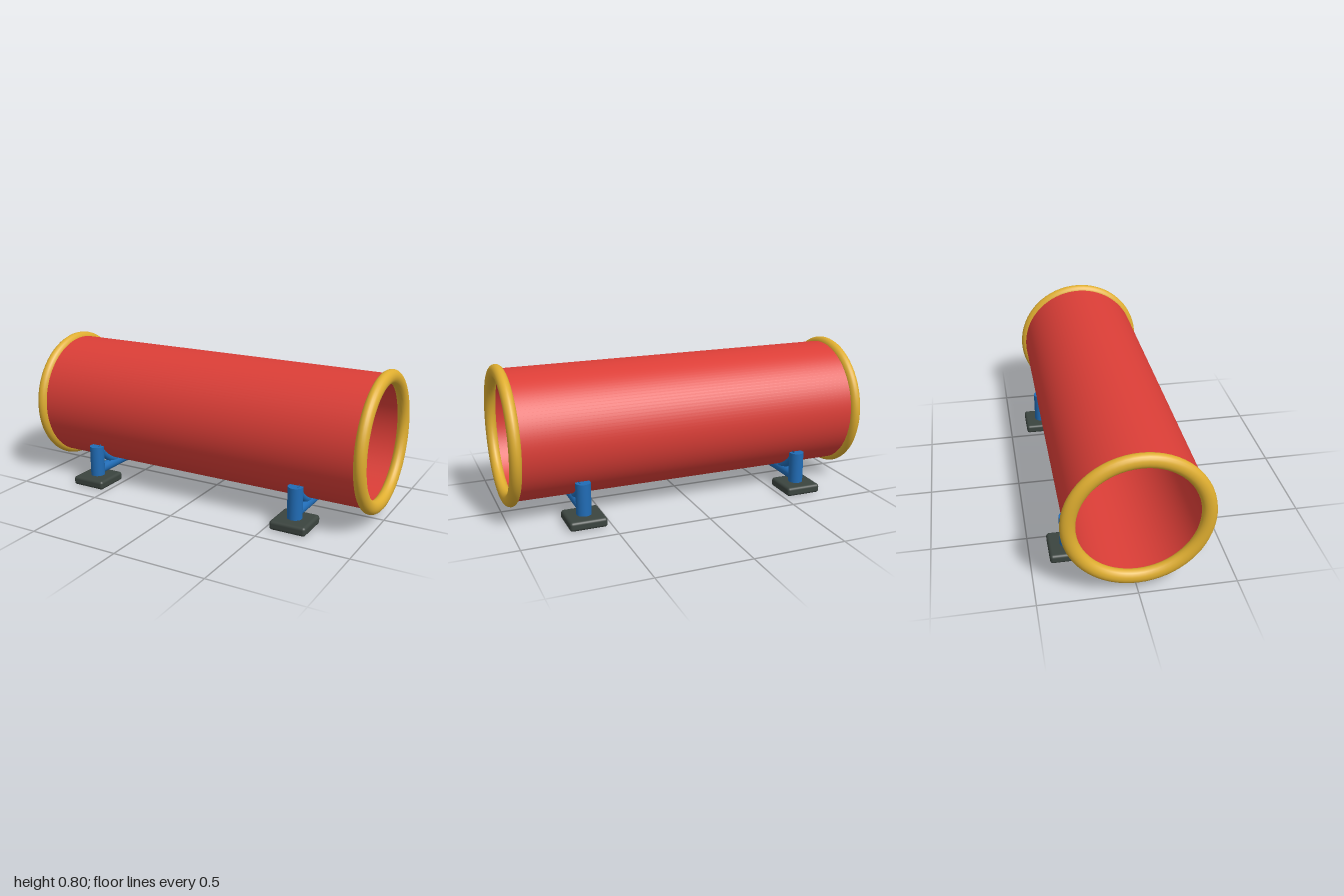
import * as THREE from 'three';
import { toCreasedNormals } from 'three/addons/utils/BufferGeometryUtils.js';
import { RoundedBoxGeometry } from 'three/addons/geometries/RoundedBoxGeometry.js';

const AXIS_Y = 0.425; // height of the tunnel's centre line

function material(name, color) {
  const m = new THREE.MeshStandardMaterial({ color });
  m.name = name;
  return m;
}

function part(parent, name, geometry, mat, x = 0, y = 0, z = 0) {
  const mesh = new THREE.Mesh(geometry, mat);
  mesh.name = name;
  mesh.position.set(x, y, z);
  parent.add(mesh);
  return mesh;
}

export function createModel() {
  const red = material('red', 0xdb3e37);
  const yellow = material('yellow', 0xdfae30);
  const blue = material('blue', 0x206cb6);
  const rubber = material('dark rubber', 0x3b443f);

  const model = new THREE.Group();
  model.name = 'crawlTunnel';

  // Hollow tunnel lying along x
  const ringShape = new THREE.Shape().absarc(0, 0, 0.35, 0, Math.PI * 2, false);
  ringShape.holes.push(new THREE.Path().absarc(0, 0, 0.32, 0, Math.PI * 2, true));
  const tunnel = new THREE.ExtrudeGeometry(ringShape, { depth: 1.94, bevelEnabled: false, curveSegments: 64 });
  tunnel.translate(0, 0, -0.97).rotateY(Math.PI / 2);
  part(model, 'tunnel', toCreasedNormals(tunnel, 0.6), red, 0, AXIS_Y, 0);

  // Padded rims, slightly flattened along the tunnel
  const rim = new THREE.TorusGeometry(0.3375, 0.0375, 20, 64);
  rim.scale(1, 1, 0.0315 / 0.0375).rotateY(Math.PI / 2);

  // Curved saddle hugging the underside, centred on straight down
  const arc = 2.0;
  const saddle = new THREE.TorusGeometry(0.36, 0.022, 12, 40, arc);
  saddle.rotateZ(-Math.PI / 2 - arc / 2).rotateY(Math.PI / 2);

  const post = new THREE.CylinderGeometry(0.04, 0.04, 0.18, 28);
  const bar = new THREE.CylinderGeometry(0.029, 0.029, 0.58, 24).rotateX(Math.PI / 2);
  const foot = new RoundedBoxGeometry(0.2, 0.05, 0.2, 4, 0.016);

  for (const side of [-1, 1]) {
    const label = side > 0 ? 'left' : 'right';
    part(model, label + 'Rim', rim, yellow, side * 0.9685, AXIS_Y, 0);

    // Support stand
    const stand = new THREE.Group();
    stand.name = label + 'Stand';
    stand.position.x = side * 0.625;
    model.add(stand);
    part(stand, 'saddle', saddle, blue, 0, AXIS_Y, 0);
    part(stand, 'crossBar', bar, blue, 0, 0.076, 0);
    for (const end of [-1, 1]) {
      const where = end > 0 ? 'front' : 'back';
      part(stand, where + 'Post', post, blue, 0, 0.132, end * 0.3);
      part(stand, where + 'Foot', foot, rubber, 0, 0.025, end * 0.3);
    }
  }
  return model;
}
